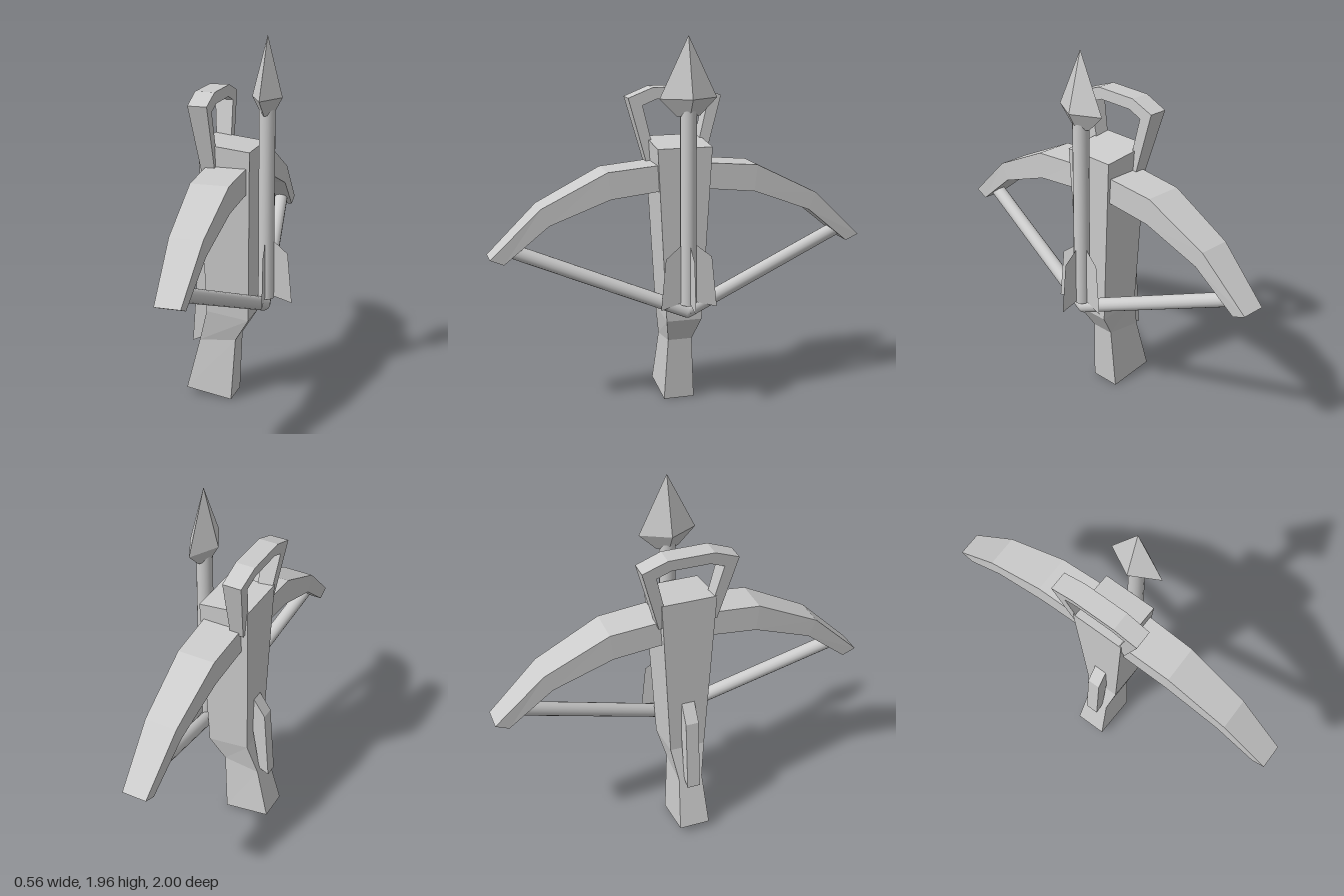
import * as THREE from 'three';

const flat = new THREE.MeshStandardMaterial({ color: 0xcccccc, flatShading: true });
const smooth = new THREE.MeshStandardMaterial({ color: 0xcccccc });
const thin = new THREE.MeshStandardMaterial({ color: 0xcccccc, flatShading: true, side: THREE.DoubleSide });
const v = (x, y, z) => new THREE.Vector3(x, y, z);

// Faceted solid through a row of four-cornered cross-sections
function loft(rings) {
  const tris = [];
  const quad = (a, b, c, d) => tris.push([a, b, c], [a, c, d]);
  for (let i = 0; i < rings.length - 1; i++) {
    for (let j = 0; j < 4; j++) {
      const k = (j + 1) % 4;
      quad(rings[i][j], rings[i][k], rings[i + 1][k], rings[i + 1][j]);
    }
  }
  const end = rings[rings.length - 1];
  quad(...[...rings[0]].reverse());
  quad(...end);
  // Turn the faces outward whichever way the sections run
  const volume = tris.reduce((s, [a, b, c]) => s + a.dot(b.clone().cross(c)), 0);
  if (volume < 0) tris.forEach((t) => t.reverse());
  const geometry = new THREE.BufferGeometry().setFromPoints(tris.flat());
  geometry.computeVertexNormals();
  return geometry;
}

// Round rod between two points
function rod(a, b, radius) {
  const dir = b.clone().sub(a);
  const g = new THREE.CylinderGeometry(radius, radius, dir.length(), 16);
  g.applyQuaternion(new THREE.Quaternion().setFromUnitVectors(v(0, 1, 0), dir.clone().normalize()));
  const mid = a.clone().add(b).multiplyScalar(0.5);
  return g.translate(mid.x, mid.y, mid.z);
}

// Complete a half list of sections [z1, y1, z2, y2, ...] to the other side
const mirrored = (half) => [
  ...half.map(([z1, y1, z2, y2, ...r]) => [-z1, y1, -z2, y2, ...r]),
  ...[...half].reverse(),
];

export function createModel() {
  const group = new THREE.Group();
  const add = (name, geometry, material = flat) => {
    const mesh = new THREE.Mesh(geometry, material);
    mesh.name = name;
    group.add(mesh);
    return mesh;
  };

  // Stock: [back x, back y, front x, front y, half width]
  add('stock', loft([
    [-0.18, 1.42, 0.09, 1.39, 0.145],
    [-0.16, 0.5, 0.07, 0.47, 0.095],
    [-0.21, 0.32, -0.01, 0.34, 0.065],
    [-0.28, 0.04, -0.03, 0, 0.083],
  ].map(([bx, by, fx, fy, w]) => [v(bx, by, -w), v(fx, fy, -w), v(fx, fy, w), v(bx, by, w)])));

  // Bow: [upper z, upper y, lower z, lower y, min x, max x], tip to middle
  add('bow', loft(mirrored([
    [1, 0.86, 0.93, 0.83, -0.1, 0.03],
    [0.74, 1.11, 0.7, 1.02, -0.12, 0.05],
    [0.4, 1.28, 0.385, 1.14, -0.135, 0.065],
    [0.12, 1.305, 0.12, 1.17, -0.14, 0.07],
  ]).map(([z1, y1, z2, y2, x1, x2]) => [v(x1, y1, z1), v(x2, y1, z1), v(x2, y2, z2), v(x1, y2, z2)])));

  // Foot stirrup: [outer z, outer y, inner z, inner y], leg to crown, leaning back as it rises
  const lean = (y, side) => -0.125 - (y - 1.28) * 0.065 + side * (0.036 + (y - 1.28) * 0.04);
  add('stirrup', loft(mirrored([
    [0.155, 1.28, 0.1, 1.28],
    [0.25, 1.63, 0.175, 1.59],
    [0.12, 1.68, 0.1, 1.62],
  ]).map(([z1, y1, z2, y2]) => [
    v(lean(y1, -1), y1, z1), v(lean(y1, 1), y1, z1),
    v(lean(y2, 1), y2, z2), v(lean(y2, -1), y2, z2),
  ])));

  // Trigger lever under the stock
  const w = 0.035;
  add('triggerLever', loft([
    [-0.15, 0.82, -0.14, 0.78],
    [-0.23, 0.7, -0.15, 0.66],
    [-0.26, 0.3, -0.205, 0.325],
  ].map(([ox, oy, ix, iy]) => [v(ox, oy, -w), v(ix, iy, -w), v(ix, iy, w), v(ox, oy, w)])));

  // String, drawn back to the nock
  const nock = v(0.125, 0.54, 0);
  for (const s of [1, -1]) {
    add(s > 0 ? 'frontString' : 'backString', rod(v(-0.02, 0.888, s * 0.88), nock, 0.037), smooth);
  }
  add('stringJoint', new THREE.SphereGeometry(0.037, 16, 10).translate(nock.x, nock.y, nock.z), smooth);

  // Bolt: shaft, four-sided head and three vanes
  const bolt = new THREE.Group();
  bolt.name = 'bolt';
  bolt.position.x = 0.14;
  group.add(bolt);
  bolt.add(add('boltShaft', rod(v(0, 0.58, 0), v(0, 1.6, 0), 0.042), smooth));

  const profile = [[0, 1.56], [0.06, 1.56], [0.15, 1.65], [0, 1.96]].map(([r, y]) => new THREE.Vector2(r, y));
  const head = new THREE.LatheGeometry(profile, 4).scale(0.53, 1, 1);
  bolt.add(add('boltHead', head));

  const vane = new THREE.Shape([[0.02, 0.91], [0.115, 0.83], [0.14, 0.56], [0.02, 0.595]]
    .map(([x, y]) => new THREE.Vector2(x, y)));
  for (const angle of [0, 1.45, -1.45]) {
    bolt.add(add('vane', new THREE.ShapeGeometry(vane).scale(angle ? 1.08 : 1, 1, 1).rotateY(angle), thin));
  }
  return group;
}
